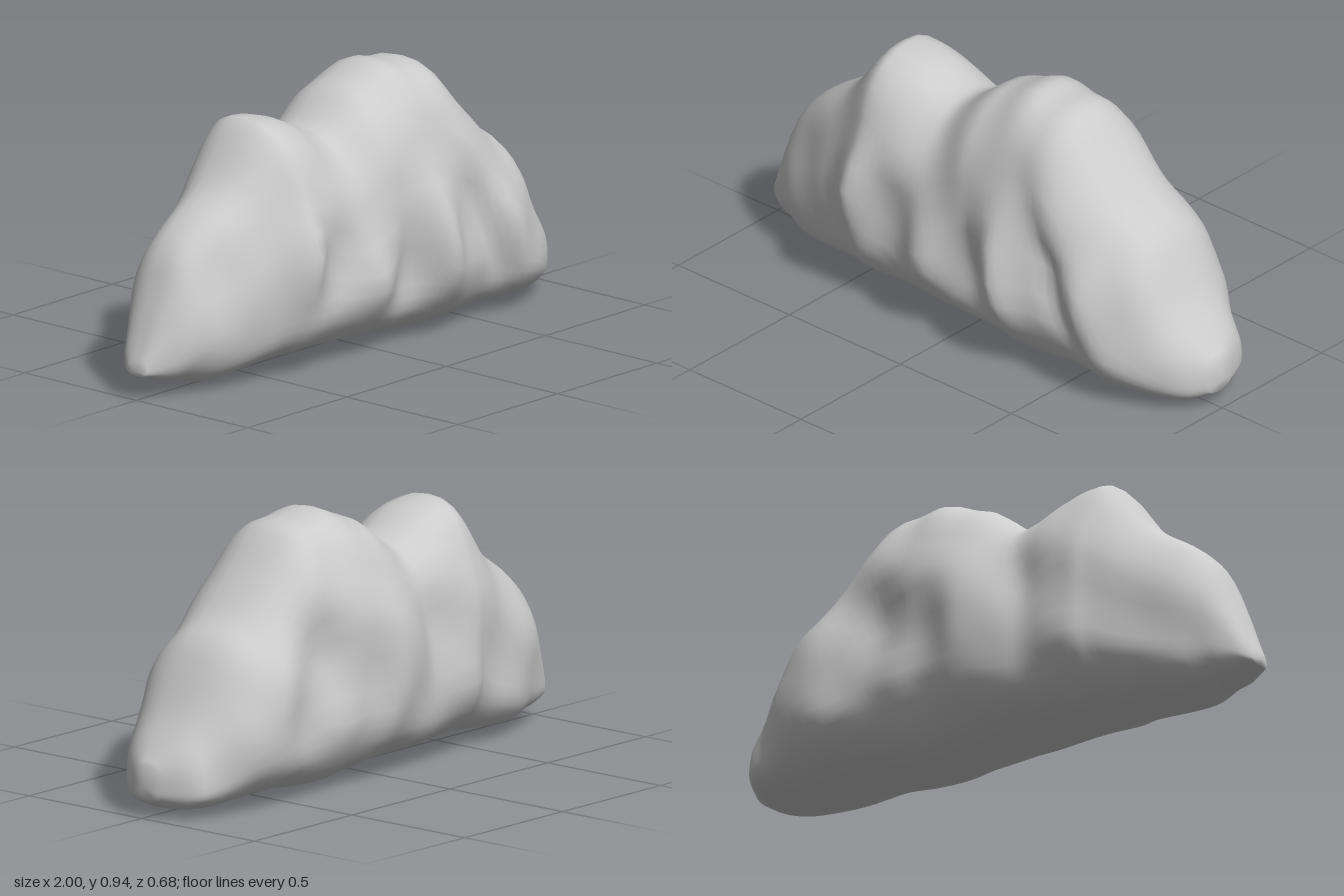
import * as THREE from 'three';

// Cross-sections along the rock: x, crest height, underside, front z, back z
const SECTIONS = [
  [-0.99, 0.13, 0.08, 0.03, -0.05], [-0.96, 0.2, 0.07, 0.06, -0.09],
  [-0.9, 0.35, 0.05, 0.11, -0.13], [-0.84, 0.48, 0.04, 0.14, -0.16],
  [-0.75, 0.57, 0.02, 0.18, -0.19], [-0.6, 0.675, 0.03, 0.23, -0.22],
  [-0.47, 0.845, 0.04, 0.26, -0.25], [-0.4, 0.86, 0.04, 0.28, -0.275],
  [-0.3, 0.835, 0.04, 0.28, -0.28], [-0.2, 0.785, 0.035, 0.28, -0.285],
  [-0.12, 0.775, 0.035, 0.285, -0.295], [0, 0.865, 0.03, 0.28, -0.3],
  [0.08, 0.895, 0.02, 0.275, -0.305], [0.18, 0.935, 0.01, 0.28, -0.305],
  [0.27, 0.92, 0.0, 0.285, -0.31], [0.38, 0.9, 0.005, 0.28, -0.305],
  [0.5, 0.77, 0.02, 0.275, -0.3], [0.62, 0.645, 0.02, 0.27, -0.305],
  [0.74, 0.555, 0.015, 0.24, -0.28], [0.85, 0.36, 0.015, 0.19, -0.22],
  [0.93, 0.25, 0.03, 0.13, -0.18], [0.985, 0.18, 0.06, 0.05, -0.06],
];

// Ridges (positive) and hollows (negative): facing, x, y, x radius, y radius, lean, depth
const DENTS = [
  // Front
  [1, -0.43, 0.43, 0.07, 0.16, 0.1, 0.055], [1, -0.55, 0.36, 0.06, 0.16, 0, -0.02],
  [1, -0.25, 0.4, 0.09, 0.13, 0, -0.03], [1, -0.08, 0.26, 0.07, 0.12, 0, 0.025],
  [1, 0.1, 0.3, 0.08, 0.16, 0.1, -0.035], [1, 0.24, 0.33, 0.07, 0.17, -0.1, 0.06],
  [1, 0.45, 0.38, 0.06, 0.22, -0.5, -0.04], [1, 0.62, 0.3, 0.08, 0.18, -0.3, 0.025],
  [1, -0.1, 0.7, 0.1, 0.12, 0, -0.02],
  // Back
  [-1, 0.03, 0.36, 0.09, 0.12, 0, 0.04], [-1, 0.03, 0.58, 0.12, 0.11, 0, 0.045],
  [-1, 0.36, 0.45, 0.12, 0.16, 0, -0.06], [-1, 0.62, 0.36, 0.1, 0.15, 0, 0.025],
  [-1, 0.3, 0.2, 0.08, 0.1, 0, 0.015], [-1, -0.18, 0.48, 0.08, 0.18, 0.1, -0.035],
];

const AROUND = 40, ALONG = 76;

// Smooth interpolation between the sections
const cubic = (a, b, c, d, t) =>
  b + 0.5 * t * (c - a + t * (2 * a - 5 * b + 4 * c - d + t * (3 * (b - c) + d - a)));
function sectionAt(u) {
  const last = SECTIONS.length - 1, i = Math.min(Math.floor(u * last), last - 1);
  const at = k => SECTIONS[Math.max(0, Math.min(last, k))];
  return at(i).map((_, k) => cubic(at(i - 1)[k], at(i)[k], at(i + 1)[k], at(i + 2)[k], u * last - i));
}

// One point of the weathered surface
function surfacePoint([x, top, bottom, front, back], angle) {
  const c = Math.cos(angle), s = Math.sin(angle), height = top - bottom;
  const middle = bottom + height * 0.36;
  const power = s > 0 ? 0.92 : 0.76;
  const reach = s > 0 ? height * 0.64 : height * 0.36;
  const y = middle + Math.sign(s) * Math.abs(s) ** power * reach;
  const side = Math.sign(c), width = Math.abs(c) ** 0.82;
  let z = width * (c > 0 ? front : -back);
  for (const [facing, dx, dy, rx, ry, lean, depth] of DENTS) {
    if (facing !== side) continue;
    const px = (x - dx - lean * (y - dy)) / rx, py = (y - dy) / ry;
    z += depth * width * Math.exp(-px * px - py * py);
  }
  // Fine undulation, fading towards the crest, underside and ends
  z += 0.007 * width * (Math.sin(17 * x + 9 * y + side) + Math.sin(11 * x - 19 * y + 2 * side))
    * Math.min(1, height * 2);
  // The crest leans slightly backwards
  const lean = -0.025 * Math.max(0, s) * Math.min(1, height);
  return [x, y, side * z + lean];
}

// Skin the sections and close both ends with blunt tips
function rockGeometry() {
  const positions = [], index = [];
  for (let i = 0; i <= ALONG; i++) {
    const section = sectionAt(i / ALONG);
    for (let j = 0; j < AROUND; j++) {
      positions.push(...surfacePoint(section, (j / AROUND) * Math.PI * 2));
    }
  }
  for (let i = 0; i < ALONG; i++) {
    for (let j = 0; j < AROUND; j++) {
      const k = (j + 1) % AROUND, a = i * AROUND, b = a + AROUND;
      index.push(a + j, b + j, a + k, b + j, b + k, a + k);
    }
  }
  const start = positions.length / 3, end = start + 1, row = ALONG * AROUND;
  positions.push(-1, 0.1, -0.01, 1, 0.11, -0.005);
  for (let j = 0; j < AROUND; j++) {
    const k = (j + 1) % AROUND;
    index.push(start, j, k, end, row + k, row + j);
  }
  const geometry = new THREE.BufferGeometry();
  geometry.setAttribute('position', new THREE.Float32BufferAttribute(positions, 3));
  geometry.setIndex(index);
  geometry.computeVertexNormals();
  return geometry;
}

export function createModel() {
  const group = new THREE.Group();
  group.name = 'rockFormation';
  const rock = new THREE.Mesh(rockGeometry(), new THREE.MeshStandardMaterial({ color: 0xcccccc }));
  rock.name = 'rock';
  group.add(rock);
  return group;
}
